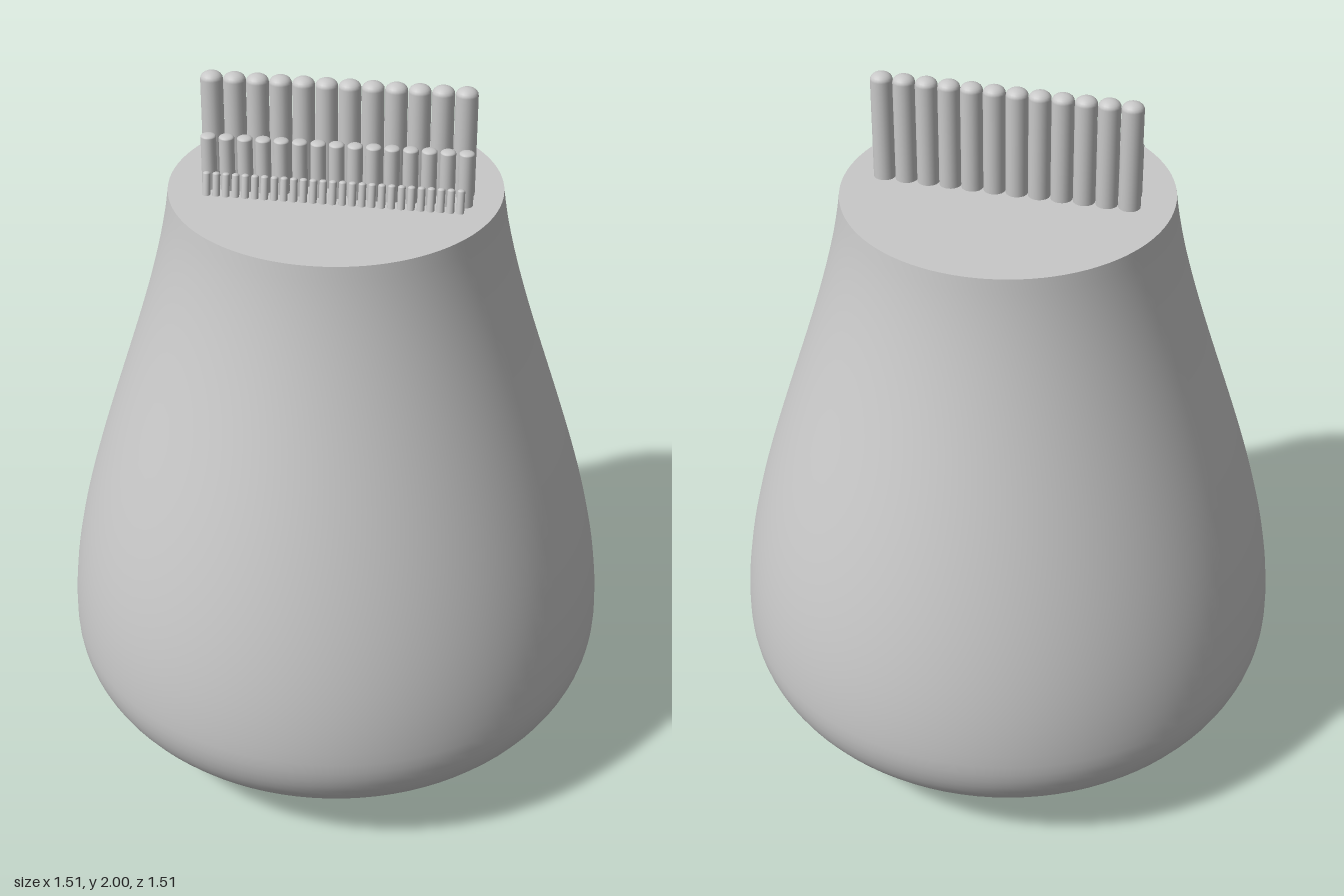
import * as THREE from 'three';

export function createModel() {
  const model = new THREE.Group();
  const grey = new THREE.MeshStandardMaterial({ color: 0xc8c8c8 });
  grey.name = 'light grey';

  // Pear-shaped body: rounded base, then a gently flaring side
  const v = (x, y) => new THREE.Vector2(x, y);
  const base = new THREE.CubicBezierCurve(v(0, 0.005), v(0.44, 0.005), v(0.755, 0.12), v(0.755, 0.38));
  const side = new THREE.CubicBezierCurve(v(0.755, 0.38), v(0.755, 0.8), v(0.485, 1.3), v(0.435, 1.705));
  const profile = [...base.getPoints(24), ...side.getPoints(32).slice(1)];
  const body = new THREE.Mesh(new THREE.LatheGeometry(profile, 96), grey);
  body.name = 'body';
  model.add(body);

  // Flat top
  const lid = new THREE.Mesh(new THREE.CircleGeometry(0.435, 96), grey);
  lid.name = 'flatTop';
  lid.rotation.x = -Math.PI / 2;
  lid.position.y = 1.705;
  model.add(lid);

  // Upright rod with a softly domed end, standing on y = 0
  function rodGeometry(radius, height, dome) {
    const points = [v(radius, 0)];
    for (let i = 0; i <= 6; i++) {
      const a = (i / 6) * Math.PI / 2;
      points.push(v(radius * Math.cos(a), height - dome + dome * Math.sin(a)));
    }
    return new THREE.LatheGeometry(points, 20);
  }

  // Straight row of equal rods, optionally leaning backwards
  function addRow(name, count, x0, x1, z, radius, height, dome, lean = 0) {
    const row = new THREE.Group();
    row.name = name;
    const geometry = rodGeometry(radius, height, dome);
    for (let i = 0; i < count; i++) {
      const rod = new THREE.Mesh(geometry, grey);
      rod.name = 'rod';
      rod.position.set(x0 + (x1 - x0) * i / (count - 1), 1.7, z);
      rod.rotation.x = lean;
      row.add(rod);
    }
    model.add(row);
  }

  addRow('tallRodRow', 12, -0.32, 0.331, -0.002, 0.029, 0.3, 0.02);
  addRow('middleRodRow', 15, -0.32, 0.342, 0.06, 0.02, 0.155, 0.008);
  addRow('shortRodRow', 27, -0.32, 0.334, 0.106, 0.01, 0.066, 0.006, -0.22);

  return model;
}
